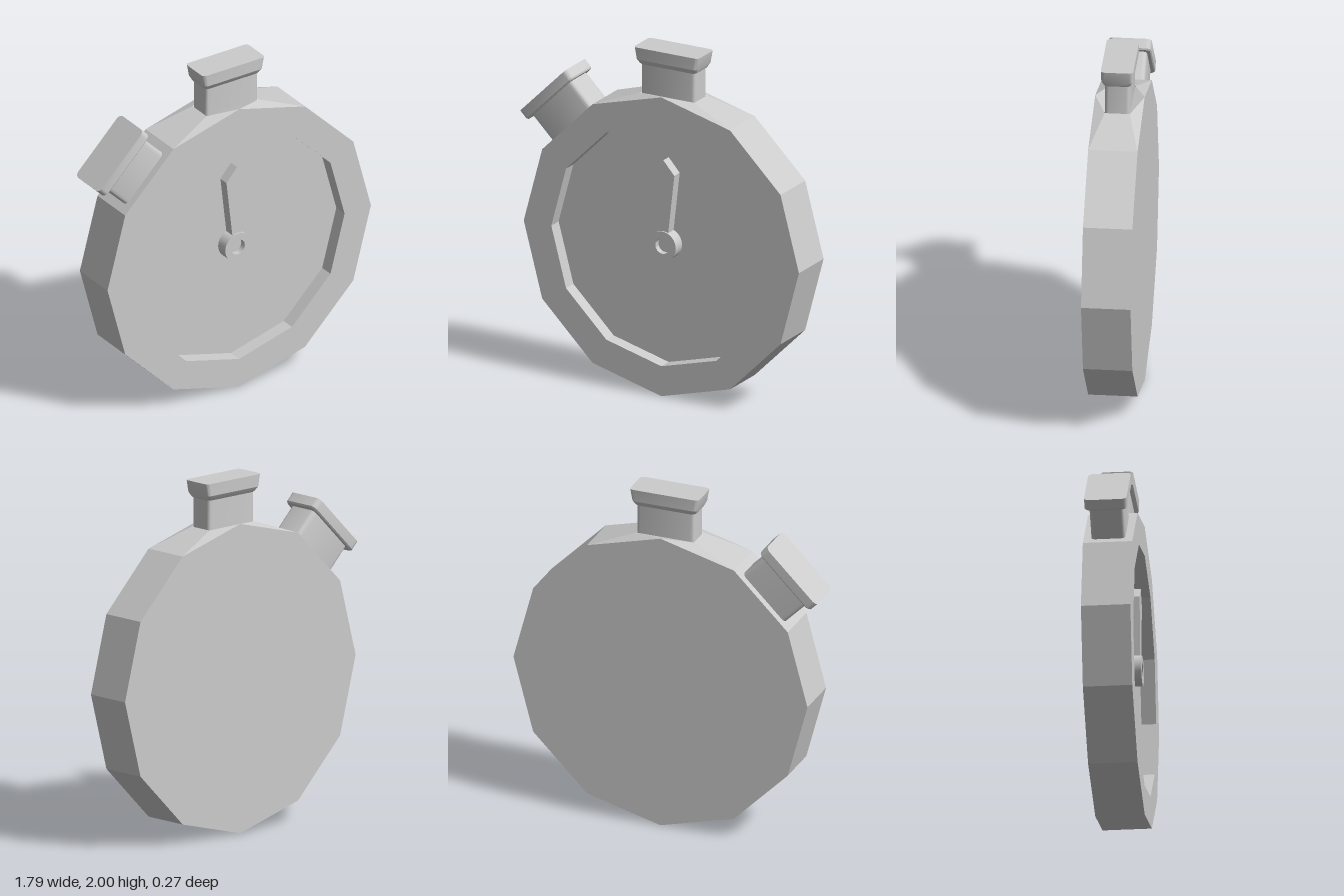
import * as THREE from 'three';
import { toCreasedNormals } from 'three/addons/utils/BufferGeometryUtils.js';

const CX = 0.02, CY = 0.88;            // centre of the round case
const R = 0.875, RIM = 0.7, Z = 0.137; // case radius, dial radius, half depth
const FLOOR = 0.055;                   // depth position of the sunken dial
const SIDES = 12;

const material = new THREE.MeshStandardMaterial({ color: 0xcccccc });
const flat = new THREE.MeshStandardMaterial({ color: 0xcccccc, flatShading: true });

// Collects triangles and quads (counter-clockwise from outside)
function facesBuilder() {
  const pos = [];
  const face = (...p) => {
    for (let i = 1; i < p.length - 1; i++) pos.push(...p[0], ...p[i], ...p[i + 1]);
  };
  const build = () => {
    const g = new THREE.BufferGeometry();
    g.setAttribute('position', new THREE.Float32BufferAttribute(pos, 3));
    g.computeVertexNormals();
    return g;
  };
  return { face, build };
}

function mesh(name, geometry, mat = material) {
  const m = new THREE.Mesh(geometry, mat);
  m.name = name;
  return m;
}

// Twelve-sided case with a sunken dial and a raised seat for the crown
function caseGeometry() {
  const { face, build } = facesBuilder();
  const v = (i, r, z) => {
    const a = Math.PI / 2 + (i * 2 * Math.PI) / SIDES;
    return [CX + r * Math.cos(a), CY + r * Math.sin(a), z];
  };
  for (let i = 0; i < SIDES; i++) {
    const j = i + 1;
    face(v(i, R, Z), v(j, R, Z), v(j, RIM, Z), v(i, RIM, Z));                 // front rim
    face(v(i, RIM, FLOOR), v(i, RIM, Z), v(j, RIM, Z), v(j, RIM, FLOOR));     // recess wall
    face([CX, CY, FLOOR], v(i, RIM, FLOOR), v(j, RIM, FLOOR));                // dial
    face([CX, CY, -Z], v(j, R, -Z), v(i, R, -Z));                             // back
    if (i > 0 && i < SIDES - 1)
      face(v(i, R, Z), v(i, R, -Z), v(j, R, -Z), v(j, R, Z));                 // outer wall
  }
  // crown seat: the two top edges blend into the corners of the neck
  const k = (sx, sz) => [CX + sx * 0.172, 1.733, sz * 0.07];
  for (const s of [1, -1]) {
    const left = v(1, R, s * Z), top = v(0, R, s * Z), right = v(-1, R, s * Z);
    const tris = [[left, top, k(-1, s)], [top, right, k(1, s)], [top, k(1, s), k(-1, s)]];
    for (const t of tris) face(...(s > 0 ? t : t.reverse()));
  }
  face(v(1, R, -Z), v(1, R, Z), k(-1, 1), k(-1, -1));
  face(v(-1, R, Z), v(-1, R, -Z), k(1, -1), k(1, 1));
  return build();
}

// Rounded-rectangle sections [y, halfWidth, halfDepth, cornerRadius] lofted upward
function loft(levels) {
  const { face, build } = facesBuilder();
  const STEPS = 4;
  const rings = levels.map(([y, w, d, r]) => {
    const ring = [];
    for (let c = 0; c < 4; c++) {
      const sx = c === 0 || c === 3 ? 1 : -1, sz = c < 2 ? -1 : 1;
      for (let s = 0; s <= STEPS; s++) {
        const a = (c + s / STEPS) * Math.PI / 2;
        ring.push([sx * (w - r) + r * Math.cos(a), y, sz * (d - r) - r * Math.sin(a)]);
      }
    }
    return ring;
  });
  const n = rings[0].length;
  for (let l = 0; l < rings.length - 1; l++)
    for (let i = 0; i < n; i++) {
      const j = (i + 1) % n;
      face(rings[l][i], rings[l][j], rings[l + 1][j], rings[l + 1][i]);
    }
  face(...rings[rings.length - 1]);
  face(...rings[0].slice().reverse());
  return toCreasedNormals(build(), 0.5);
}

export function createModel() {
  const group = new THREE.Group();
  group.name = 'stopwatch';

  group.add(mesh('case', caseGeometry(), flat));

  // crown on top
  const crown = mesh('crown', loft([
    [0.84, 0.172, 0.069, 0.02],
    [1.02, 0.172, 0.069, 0.02],
    [1.025, 0.182, 0.072, 0.02],
    [1.05, 0.194, 0.088, 0.022],
    [1.12, 0.206, 0.09, 0.022],
  ]));
  crown.position.set(CX, CY, 0);
  group.add(crown);

  // wider push button on the upper side
  const button = mesh('sideButton', loft([
    [0.83, 0.175, 0.094, 0.025],
    [1.025, 0.175, 0.094, 0.025],
    [1.025, 0.203, 0.112, 0.028],
    [1.033, 0.21, 0.118, 0.03],
    [1.089, 0.21, 0.118, 0.03],
  ]));
  button.position.set(CX, CY, 0);
  button.rotation.z = Math.PI / 4;
  group.add(button);

  // hub with a dimple
  const profile = [[0.085, 0], [0.085, 0.07], [0.045, 0.07], [0.045, 0.035], [0, 0.035]];
  const hub = mesh('hub', toCreasedNormals(
    new THREE.LatheGeometry(profile.map(p => new THREE.Vector2(...p)), 32), 0.6));
  hub.rotation.x = Math.PI / 2;
  hub.position.set(CX, CY, FLOOR);
  group.add(hub);

  // pointed hand
  const outline = [[-0.03, 0.07], [0.03, 0.07], [0.07, 0.42], [0, 0.5], [-0.07, 0.42]];
  const hand = mesh('hand', new THREE.ExtrudeGeometry(
    new THREE.Shape(outline.map(p => new THREE.Vector2(...p))),
    { depth: 0.06, bevelEnabled: false }), flat);
  hand.position.set(CX, CY, FLOOR);
  group.add(hand);

  return group;
}
